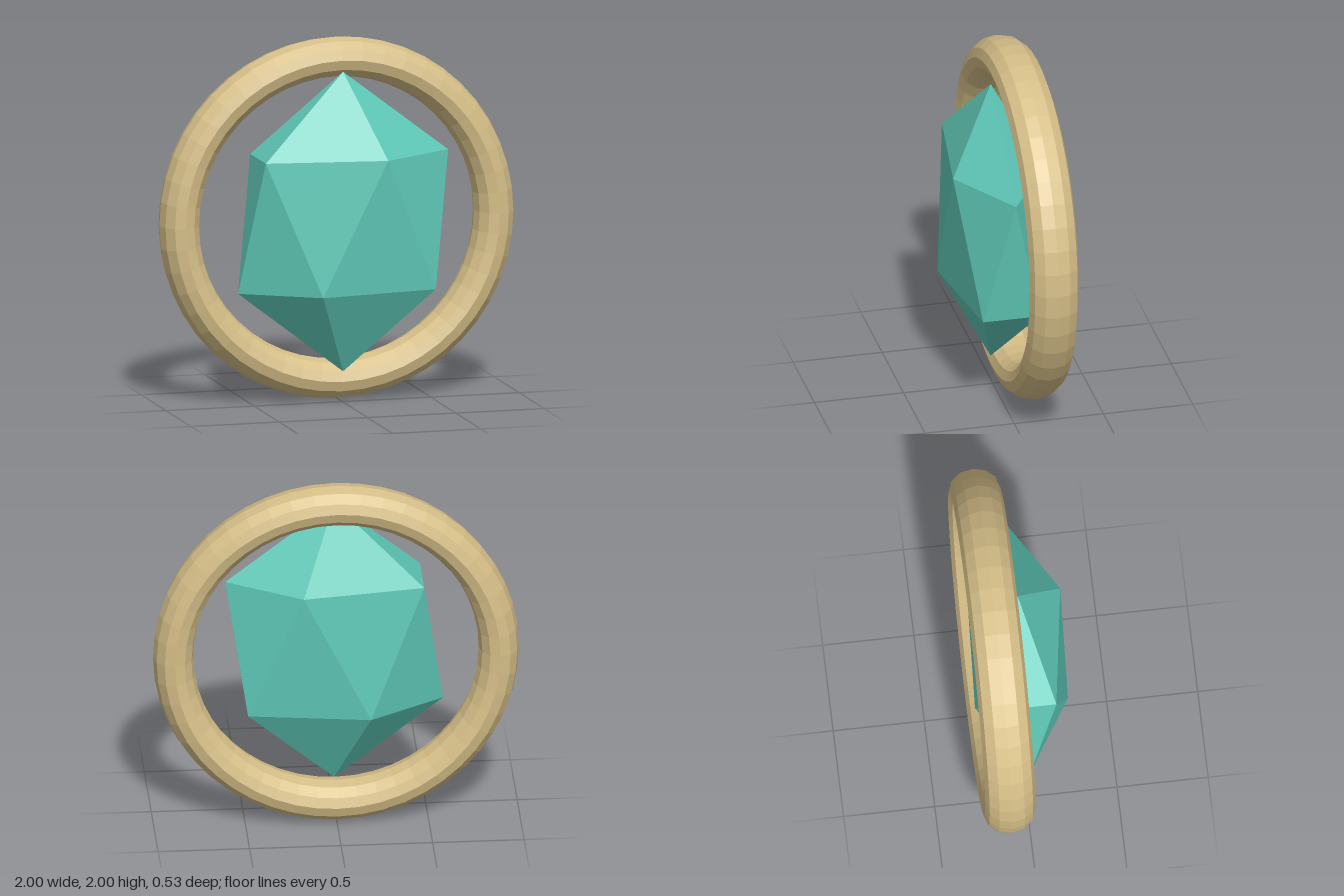
import * as THREE from 'three';
import { ConvexGeometry } from 'three/addons/geometries/ConvexGeometry.js';

const material = (color) => new THREE.MeshStandardMaterial({ color, flatShading: true });

// Stretched icosahedron: two tips and two staggered rings of five points
function gemGeometry(rx, height, rz) {
  const ringY = height / Math.sqrt(5);
  const points = [new THREE.Vector3(0, height, 0), new THREE.Vector3(0, -height, 0)];
  for (let i = 0; i < 5; i++) {
    const a = (i * Math.PI * 2) / 5;
    const x = rx * Math.cos(a), z = rz * Math.sin(a);
    points.push(new THREE.Vector3(x, ringY, z), new THREE.Vector3(-x, -ringY, z));
  }
  return new ConvexGeometry(points);
}

export function createModel() {
  const model = new THREE.Group();
  model.name = 'ringedGem';

  // Faceted hoop, slightly deeper than it is wide
  const hoop = new THREE.Mesh(new THREE.TorusGeometry(0.89, 0.11, 12, 48), material(0xd6bf88));
  hoop.name = 'hoop';
  hoop.scale.z = 1.25;
  hoop.position.set(0, 1, -0.13);

  // Gem standing in front of the hoop's centre plane
  const gem = new THREE.Mesh(gemGeometry(0.595, 0.83, 0.268), material(0x5fc9b8));
  gem.name = 'gem';
  gem.position.set(0, 1, 0.012);

  model.add(hoop, gem);
  return model;
}
